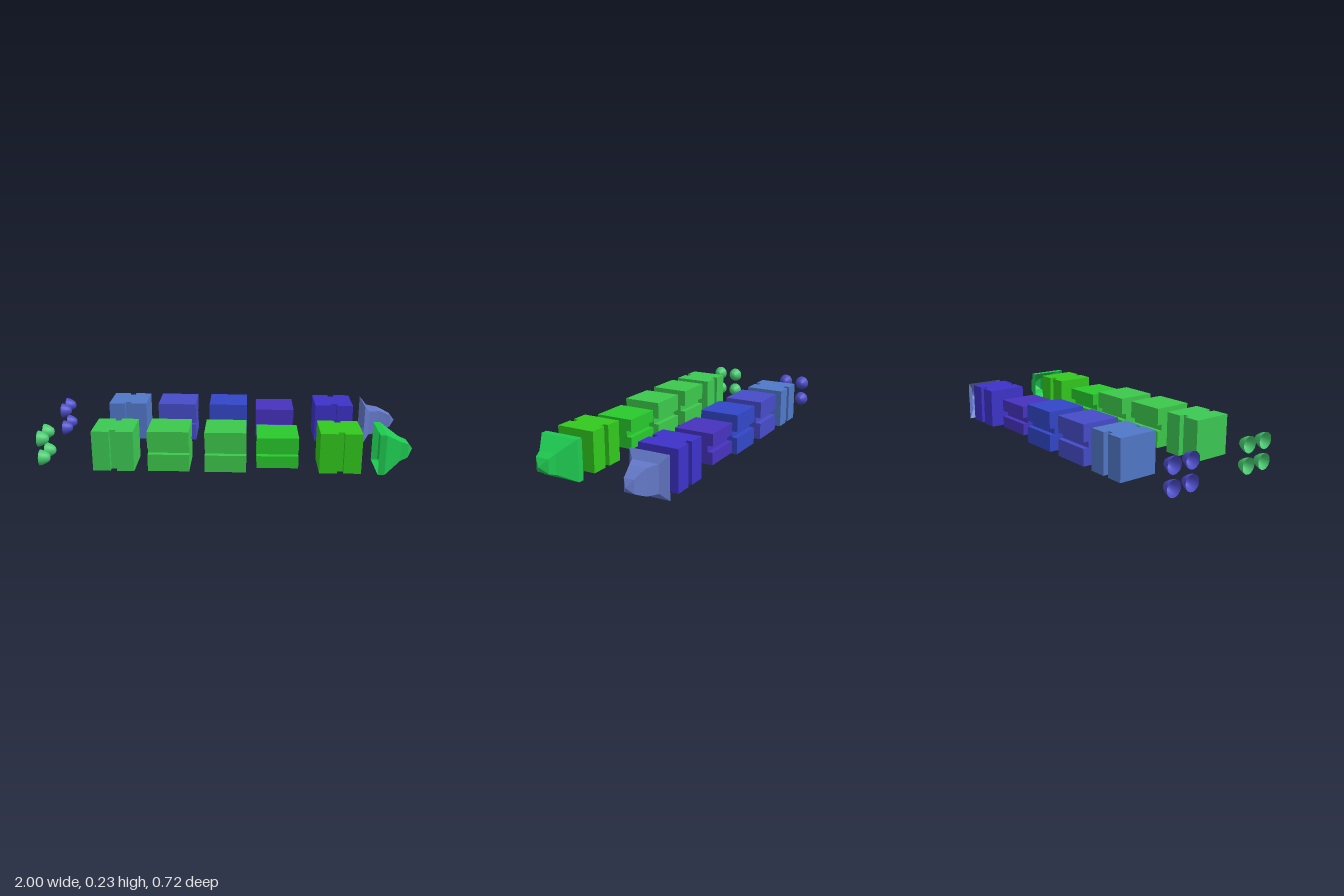
import * as THREE from 'three';

const paint = (color, extra = {}) => new THREE.MeshStandardMaterial({ color, ...extra });

// Block with a groove cut into its front and back; along 'y' or 'x'
function groovedBlock(name, axis, color, { x, y = 0.12, z, w = 0.22, h = 0.22, d = 0.22, groove = 0.034, depth = 0.03 }) {
  const a = (axis === 'y' ? w : h) / 2, b = d / 2, g = groove / 2;
  const length = axis === 'y' ? h : w;
  const shape = new THREE.Shape([
    [-a, -b], [-g, -b], [-g, -b + depth], [g, -b + depth], [g, -b], [a, -b],
    [a, b], [g, b], [g, b - depth], [-g, b - depth], [-g, b], [-a, b],
  ].map(([u, v]) => new THREE.Vector2(u, v)));
  const geo = new THREE.ExtrudeGeometry(shape, { depth: length, bevelEnabled: false });
  geo.translate(0, 0, -length / 2);
  geo.rotateX(-Math.PI / 2);
  if (axis === 'x') geo.rotateZ(Math.PI / 2);
  const mesh = new THREE.Mesh(geo, paint(color));
  mesh.name = name;
  mesh.position.set(x, y, z);
  return mesh;
}

// Hollow nose made of rectangular rings [x, half height, half depth]
function noseCone(color, rings, y, z) {
  const corners = rings.map(([x, h, d]) => [[x, -h, d], [x, -h, -d], [x, h, -d], [x, h, d]]);
  const pos = [];
  for (let i = 0; i < rings.length - 1; i++) {
    for (let j = 0; j < 4; j++) {
      const k = (j + 1) % 4;
      const [p, q, r, s] = [corners[i][j], corners[i][k], corners[i + 1][k], corners[i + 1][j]];
      pos.push(...p, ...q, ...r);
      if (rings[i + 1][1] > 0) pos.push(...p, ...r, ...s);
    }
  }
  const geo = new THREE.BufferGeometry();
  geo.setAttribute('position', new THREE.Float32BufferAttribute(pos, 3));
  geo.computeVertexNormals();
  const mesh = new THREE.Mesh(geo, paint(color, { flatShading: true, side: THREE.DoubleSide }));
  mesh.name = 'noseCone';
  mesh.position.set(0, y, z);
  return mesh;
}

// Four open bells, wide ends to the rear
function engineBells(color, y, z) {
  const group = new THREE.Group();
  group.name = 'engineBells';
  const profile = [[0.043, 0], [0.041, 0.012], [0.032, 0.032], [0.021, 0.049], [0.012, 0.054], [0, 0.055]]
    .map(([r, t]) => new THREE.Vector2(r, t));
  const geo = new THREE.LatheGeometry(profile, 24);
  geo.rotateZ(-Math.PI / 2);
  const mat = paint(color, { side: THREE.DoubleSide });
  for (const sy of [-1, 1]) for (const sz of [-1, 1]) {
    const bell = new THREE.Mesh(geo, mat);
    bell.name = 'engineBell';
    bell.position.set(-1, y + sy * 0.054, z + sz * 0.057);
    group.add(bell);
  }
  return group;
}

export function createModel() {
  const model = new THREE.Group();
  model.name = 'explodedBlockRockets';

  // Green row at the front
  const green = new THREE.Group();
  green.name = 'greenRocket';
  green.add(
    engineBells(0x46c86e, 0.114, 0.248),
    groovedBlock('tailBlock', 'y', 0x3cc853, { x: -0.593, z: 0.25 }),
    groovedBlock('lowerBlock', 'x', 0x3cc84b, { x: -0.3, z: 0.25, y: 0.122 }),
    groovedBlock('middleBlock', 'x', 0x3cc84b, { x: 0.002, z: 0.25 }),
    groovedBlock('shortBlock', 'x', 0x28c82d, { x: 0.276, z: 0.25, h: 0.166 }),
    groovedBlock('upperBlock', 'y', 0x32c81e, { x: 0.607, z: 0.25 }),
    noseCone(0x1ec850, [[0.805, 0.11, 0.11], [0.84, 0.11, 0.11], [0.93, 0.053, 0.05],
      [0.97, 0.038, 0.038], [1, 0, 0]], 0.115, 0.25),
  );

  // Blue row at the back
  const blue = new THREE.Group();
  blue.name = 'blueRocket';
  blue.add(
    engineBells(0x4b4bc8, 0.114, -0.248),
    groovedBlock('tailBlock', 'y', 0x5078c8, { x: -0.593, z: -0.254 }),
    groovedBlock('lowerBlock', 'x', 0x464bc8, { x: -0.3, z: -0.25 }),
    groovedBlock('middleBlock', 'x', 0x3246c8, { x: 0.002, z: -0.248 }),
    groovedBlock('shortBlock', 'x', 0x4632be, { x: 0.276, z: -0.244, h: 0.166 }),
    groovedBlock('upperBlock', 'y', 0x3c32c8, { x: 0.624, z: -0.249 }),
    noseCone(0x6478c8, [[0.805, 0.112, 0.11], [0.84, 0.072, 0.072], [0.9, 0.068, 0.046],
      [0.94, 0.05, 0.034], [0.972, 0.034, 0.027], [1, 0, 0]], 0.112, -0.247),
  );

  model.add(green, blue);
  return model;
}
